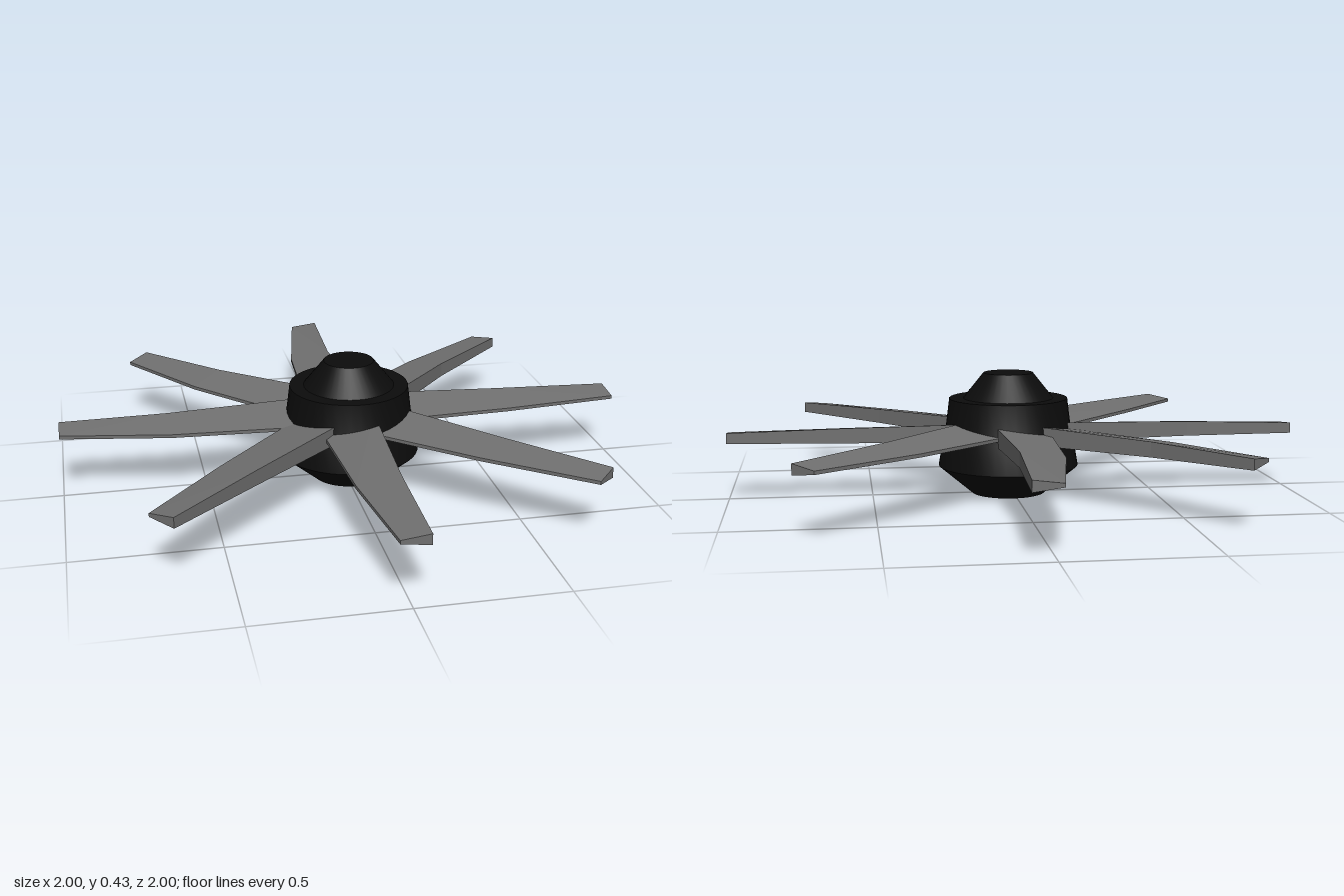
import * as THREE from 'three';
import { toCreasedNormals } from 'three/addons/utils/BufferGeometryUtils.js';

const bladeGrey = new THREE.MeshStandardMaterial({ name: 'bladeGrey', color: 0x707070 });
const hubBlack = new THREE.MeshStandardMaterial({ name: 'hubBlack', color: 0x0c0c0c });

// Sideways shift of each blade tip towards its thick edge, counter-clockwise from +x
const tipSweep = [0.0125, 0.028, 0.03, 0.034, 0.0375, 0, 0.005, 0.006];
const bladeCentre = new THREE.Vector3(-0.016, 0, 0.004);

// Wedge-section blade lofted through root, middle and tip
function bladeGeometry(angle, sweep, side) {
  const out = new THREE.Vector3(Math.cos(angle), 0, -Math.sin(angle));
  const thick = new THREE.Vector3(-Math.sin(angle), 0, -Math.cos(angle)).multiplyScalar(side);
  const sections = [
    { c: bladeCentre.clone().addScaledVector(out, 0.1), w: 0.2, lo: 0.194, hi: 0.262 },
    { c: bladeCentre.clone().addScaledVector(out, 0.605), w: 0.148, lo: 0.2, hi: 0.252 },
    { c: out.clone().addScaledVector(thick, sweep), w: 0.098, lo: 0.205, hi: 0.242 },
  ].map(({ c, w, lo, hi }) => {
    const corner = (s, y) => c.clone().addScaledVector(thick, (s * w) / 2).setY(y);
    return [corner(1, lo), corner(1, hi), corner(-1, 0.23), corner(-1, 0.218)];
  });

  const points = [];
  const quad = (a, b, c, d) => {
    if (side > 0) points.push(a, b, c, a, c, d);
    else points.push(a, c, b, a, d, c);
  };
  for (let i = 0; i < 2; i++) {
    for (let k = 0; k < 4; k++) {
      const n = (k + 1) % 4;
      quad(sections[i][k], sections[i][n], sections[i + 1][n], sections[i + 1][k]);
    }
  }
  quad(...sections[2]);

  const geometry = new THREE.BufferGeometry().setFromPoints(points);
  geometry.computeVertexNormals();
  return geometry;
}

export function createModel() {
  const model = new THREE.Group();
  model.name = 'rotor';

  // Turned hub: tapered base, collar and domed cap
  const profile = [
    [0, 0], [0.13, 0], [0.249, 0.1], [0.232, 0.2], [0.225, 0.22],
    [0.21, 0.34], [0.16, 0.34], [0.088, 0.43], [0, 0.43],
  ].map(([r, y]) => new THREE.Vector2(r, y));
  const hub = new THREE.Mesh(toCreasedNormals(new THREE.LatheGeometry(profile, 40), 0.4), hubBlack);
  hub.name = 'hub';
  hub.position.set(0.015, 0, 0.003);
  model.add(hub);

  // Eight blades: one half of the ring mirrors the other
  const blades = new THREE.Group();
  blades.name = 'blades';
  tipSweep.forEach((sweep, i) => {
    const side = i >= 1 && i <= 4 ? -1 : 1;
    const blade = new THREE.Mesh(bladeGeometry((i * Math.PI) / 4, sweep, side), bladeGrey);
    blade.name = `blade${i + 1}`;
    blades.add(blade);
  });
  model.add(blades);
  return model;
}
